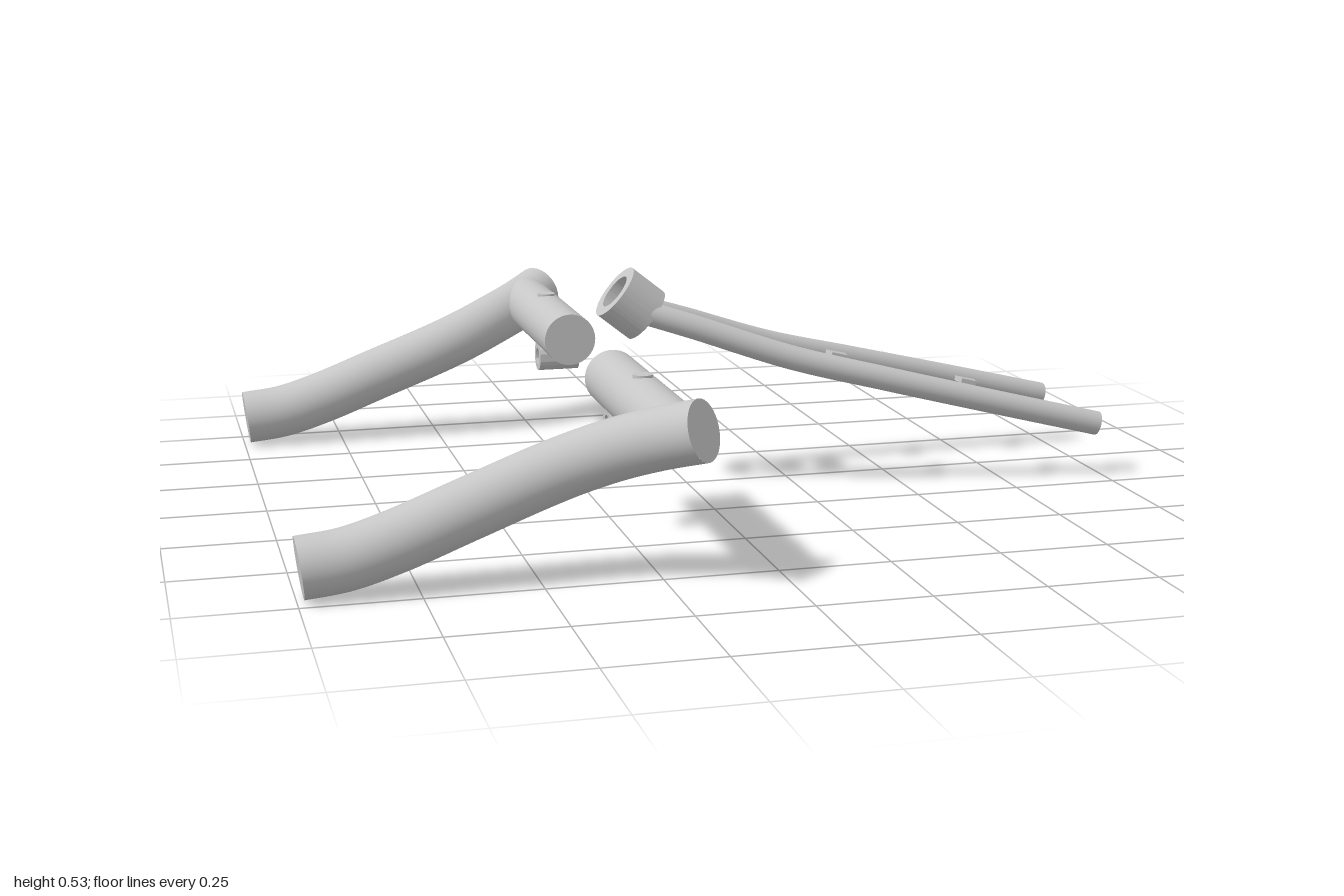
import * as THREE from 'three';
import { toCreasedNormals } from 'three/addons/utils/BufferGeometryUtils.js';

const V = (x, y, z) => new THREE.Vector3(x, y, z);
const Z = V(0, 0, 1);

export function createModel() {
  const root = new THREE.Group();
  const metal = new THREE.MeshStandardMaterial({ color: 0xc6c6c6 });
  metal.name = 'plain light grey metal';

  function add(parent, name, geometry) {
    const mesh = new THREE.Mesh(geometry, metal);
    mesh.name = name;
    parent.add(mesh);
    return mesh;
  }

  // Bent round bar with flat ends; s mirrors the path across z
  function bentTube(name, points, radius, s) {
    const group = new THREE.Group();
    group.name = name;
    const curve = new THREE.CatmullRomCurve3(points.map(([x, y, z]) => V(x, y, z * s)));
    add(group, name + 'Wall', new THREE.TubeGeometry(curve, 64, radius, 32));
    for (const t of [0, 1]) {
      const cap = add(group, name + 'End', new THREE.CircleGeometry(radius, 32));
      cap.position.copy(curve.getPointAt(t));
      cap.quaternion.setFromUnitVectors(Z, curve.getTangentAt(t).multiplyScalar(t ? 1 : -1));
    }
    root.add(group);
  }

  // Hollow round sleeve centred on a point, running along an axis
  function sleeve(name, center, axis, outer, inner, length) {
    const shape = new THREE.Shape().absarc(0, 0, outer, 0, Math.PI * 2);
    shape.holes.push(new THREE.Path().absarc(0, 0, inner, 0, Math.PI * 2, true));
    const geo = new THREE.ExtrudeGeometry(shape, { depth: length, bevelEnabled: false, curveSegments: 40 });
    geo.translate(0, 0, -length / 2);
    const mesh = add(root, name, toCreasedNormals(geo, 0.6));
    mesh.position.copy(center);
    mesh.quaternion.setFromUnitVectors(Z, axis.normalize());
  }

  // Thin plate outlined in x and z, sloped down along the legs
  function plate(name, x, y, outline, thickness, slope) {
    const shape = new THREE.Shape(outline.map(([px, pz]) => new THREE.Vector2(px, -pz)));
    const geo = new THREE.ExtrudeGeometry(shape, { depth: thickness, bevelEnabled: false });
    geo.translate(0, 0, -thickness / 2).rotateX(-Math.PI / 2).rotateZ(slope);
    add(root, name, geo).position.set(x, y, 0);
  }

  // Tilted collar where the two thin legs meet
  sleeve('collar', V(-0.137, 0.448, 0), V(0.78, -0.62, 0), 0.069, 0.043, 0.096);

  // Plate bridging the thin legs
  plate('bridgePlate', 0.098, 0.363,
    [[-0.034, -0.058], [0.034, -0.07], [0.034, 0.07], [-0.034, 0.058]], 0.012, -0.25);

  for (const s of [1, -1]) {
    const side = s > 0 ? 'left' : 'right';

    // Heavy swept arm
    bentTube(side + 'Arm', [
      [-0.992, 0.068, 0.69], [-0.9, 0.079, 0.69], [-0.8, 0.108, 0.69], [-0.65, 0.165, 0.69],
      [-0.5, 0.222, 0.69], [-0.42, 0.253, 0.702], [-0.34, 0.284, 0.733],
      [-0.262, 0.312, 0.78], [-0.19, 0.338, 0.844],
    ], 0.066, s);

    // Straight cross tube running inward from the arm
    const cross = add(root, side + 'CrossTube', new THREE.CylinderGeometry(0.063, 0.063, 0.565, 40));
    cross.rotation.x = Math.PI / 2;
    cross.position.set(-0.235, 0.322, s * 0.5075);

    // Round boss on top of the cross tube and hollow eyelet below it
    add(root, side + 'Boss', new THREE.CylinderGeometry(0.022, 0.022, 0.03, 24))
      .position.set(-0.235, 0.374, s * 0.515);
    sleeve(side + 'Eyelet', V(-0.235, 0.253, s * 0.385), V(1, 0, 0), 0.036, 0.02, 0.1);

    // Thin curved leg
    bentTube(side + 'Leg', [
      [-0.1, 0.428, 0.04], [0, 0.396, 0.06], [0.23, 0.318, 0.099],
      [0.45, 0.262, 0.129], [0.7, 0.2, 0.154], [0.99, 0.128, 0.171],
    ], 0.029, s);

    // Small tapered tabs on the inner faces of the leg
    for (const [x, y, z] of [[0.405, 0.28, 0.06], [0.762, 0.187, 0.096]]) {
      plate(side + 'Tab', x, y, [
        [-0.02, s * z], [0.02, s * z], [0.03, s * (z + 0.055)], [-0.03, s * (z + 0.055)],
      ], 0.012, -0.25);
    }
  }
  return root;
}
